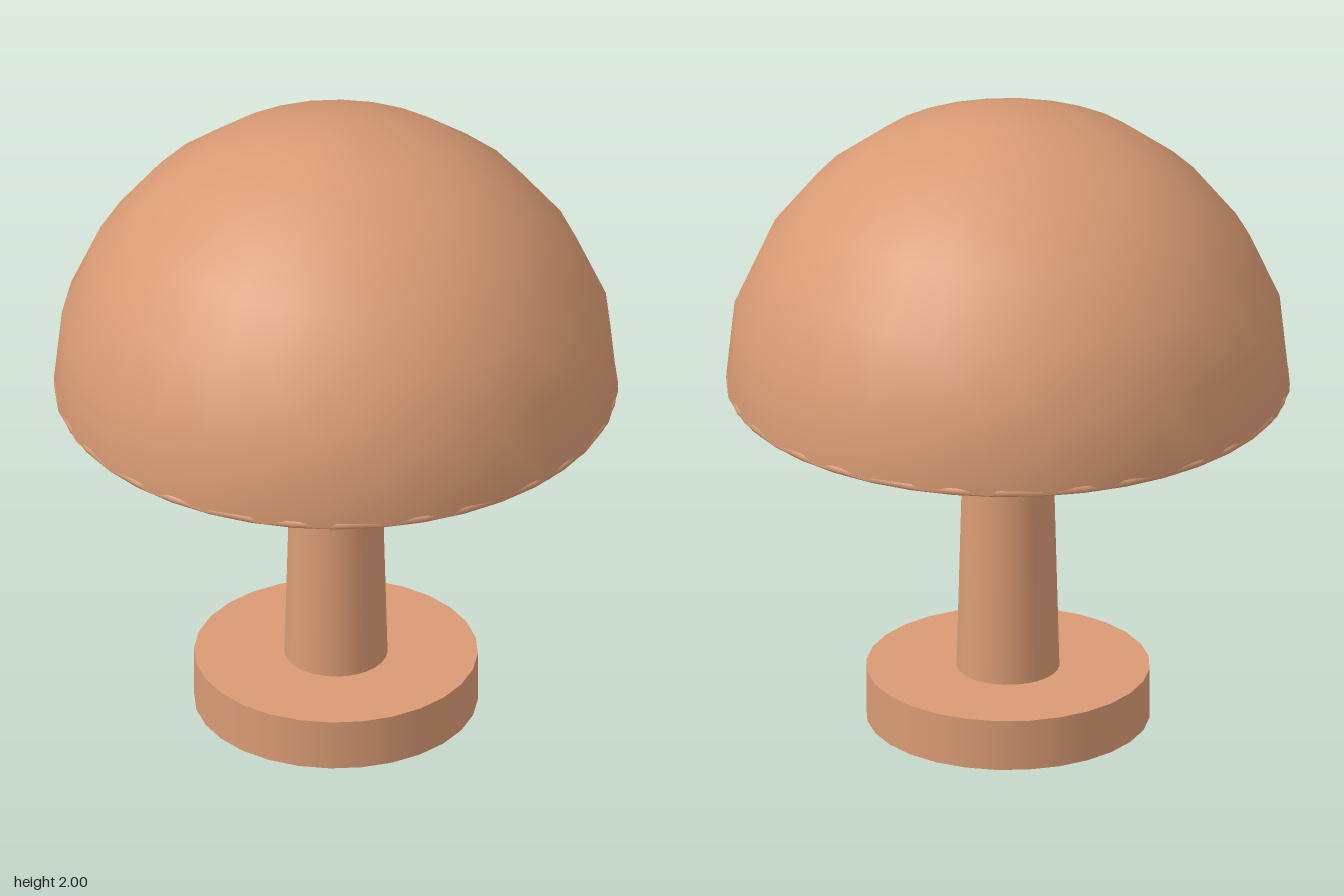
import * as THREE from 'three';

const SEGMENTS = 28;
const RIM_Y = 1.12;

export function createModel() {
  const terracotta = new THREE.MeshStandardMaterial({ color: 0xd99b74 });
  terracotta.name = 'terracotta';
  const cream = new THREE.MeshStandardMaterial({ color: 0xdcd9ca });
  cream.name = 'cream';
  const warmGlass = new THREE.MeshStandardMaterial({ color: 0xe3d3a4 });
  warmGlass.name = 'warmGlass';

  const lamp = new THREE.Group();
  lamp.name = 'tableLamp';
  const add = (name, geometry, material, y = 0, parent = lamp) => {
    const mesh = new THREE.Mesh(geometry, material);
    mesh.name = name;
    mesh.position.y = y;
    parent.add(mesh);
    return mesh;
  };
  const lathe = (points) =>
    new THREE.LatheGeometry(points.map(([r, y]) => new THREE.Vector2(r, y)), SEGMENTS);

  // Base and tapered stem
  add('base', new THREE.CylinderGeometry(0.44, 0.44, 0.165, SEGMENTS), terracotta, 0.0825);
  add('stem', new THREE.CylinderGeometry(0.133, 0.16, 1.02, SEGMENTS), terracotta, 0.67);

  // Domed shade: outer skin tucked under at the rim, with a small flat crown
  const dome = [
    [0.875, RIM_Y], [0.85, 1.36], [0.757, 1.57], [0.615, 1.75],
    [0.435, 1.89], [0.24, 1.97], [0.07, 2.0],
  ];
  add('shadeOuter', lathe([[0.845, RIM_Y], ...dome, [0, 2.0]]), terracotta);

  // Inner lining runs from crown to rim so that it faces inward
  const lining = dome.map(([r, y], i) => [
    Math.max(r - 0.028, 0.05), i === 0 ? RIM_Y : y - 0.02,
  ]).reverse();
  add('shadeLining', lathe([[0, 1.98], ...lining]), cream);

  // Rolled rim
  const rim = add('shadeRim', new THREE.TorusGeometry(0.859, 0.015, 8, 40), terracotta, RIM_Y + 0.005);
  rim.rotation.x = Math.PI / 2;

  // Socket collar and bulb
  add('socket', new THREE.CylinderGeometry(0.1, 0.1, 0.05, SEGMENTS), cream, 1.195);
  const bulb = add('bulb', new THREE.SphereGeometry(0.14, 24, 16), warmGlass, 1.38);
  bulb.scale.y = 1.33;

  // Three spokes carry the shade
  const spokes = new THREE.Group();
  spokes.name = 'shadeSpokes';
  lamp.add(spokes);
  for (let i = 0; i < 3; i++) {
    const arm = new THREE.Group();
    arm.name = 'spokeArm';
    arm.rotation.y = (i * Math.PI * 2) / 3;
    const spoke = add('spoke', new THREE.CylinderGeometry(0.013, 0.013, 0.79, 10), cream, 1.18, arm);
    spoke.rotation.z = Math.PI / 2;
    spoke.position.x = 0.455;
    spokes.add(arm);
  }

  return lamp;
}
